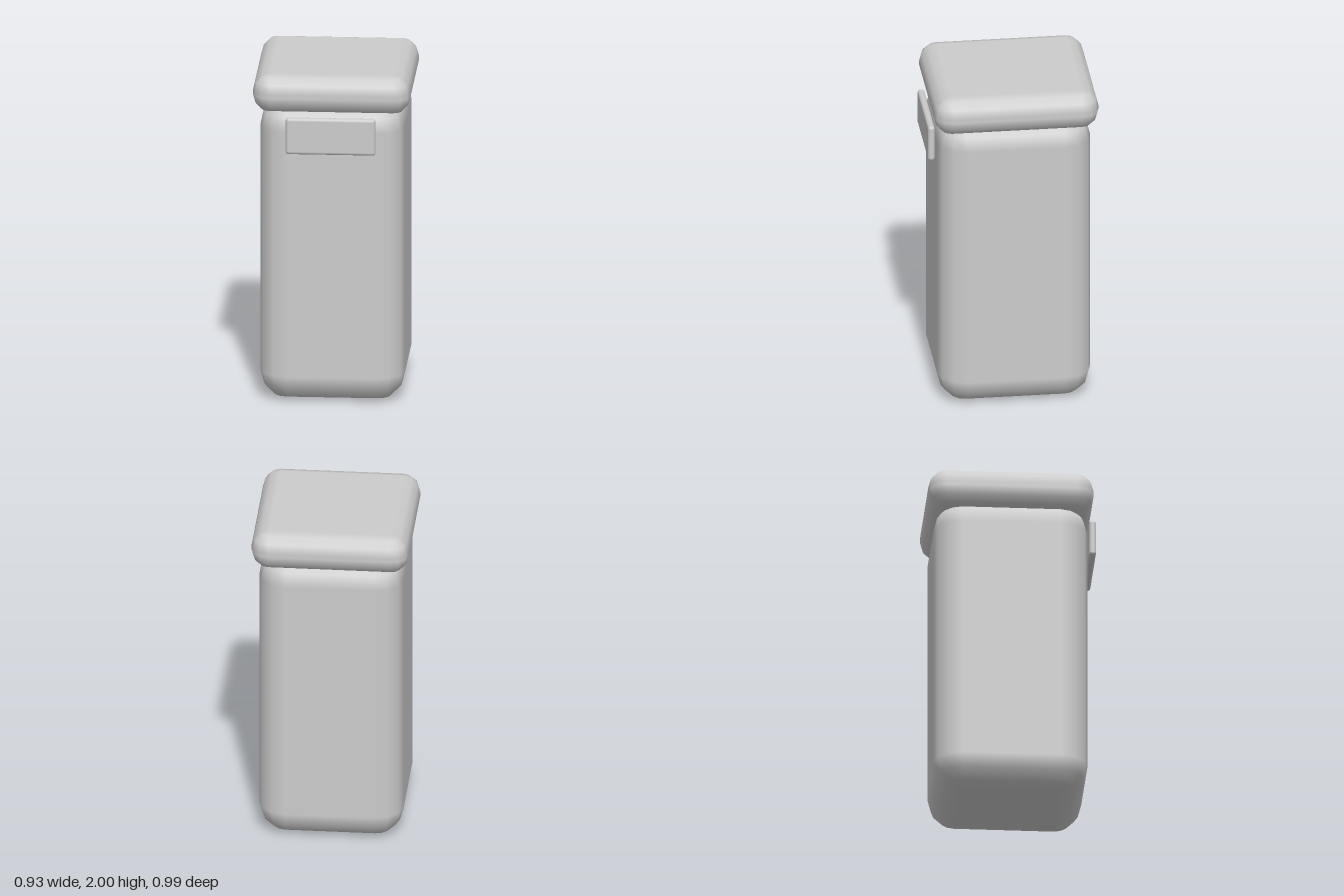
import * as THREE from 'three';

const STEPS = 3; // facets per rounded quarter

// Box rounded on every edge, given by its min and max corners; rings of points are lofted upward.
function roundedBlock([x0, y0, z0], [x1, y1, z1], r) {
  const positions = [], normals = [], index = [];
  const quarter = Math.PI / 2, perRing = 4 * (STEPS + 1);
  const rings = 2 * (STEPS + 1);
  for (let ring = 0; ring < rings; ring++) {
    const upper = ring > STEPS;
    const lat = ((upper ? ring - 1 : ring) / STEPS - 1) * quarter;
    for (let corner = 0; corner < 4; corner++) {
      const cx = corner === 0 || corner === 3 ? x1 - r : x0 + r;
      const cz = corner < 2 ? z1 - r : z0 + r;
      for (let s = 0; s <= STEPS; s++) {
        const a = (corner + s / STEPS) * quarter;
        const n = [Math.cos(lat) * Math.cos(a), Math.sin(lat), Math.cos(lat) * Math.sin(a)];
        normals.push(...n);
        positions.push(cx + r * n[0], (upper ? y1 - r : y0 + r) + r * n[1], cz + r * n[2]);
      }
    }
  }
  for (let ring = 0; ring < rings - 1; ring++) {
    for (let i = 0; i < perRing; i++) {
      const a = ring * perRing + i, b = ring * perRing + (i + 1) % perRing;
      index.push(a, a + perRing, b + perRing, a, b + perRing, b);
    }
  }
  // Flat bottom and top
  const q = STEPS + 1, t = (rings - 1) * perRing;
  index.push(0, q, 2 * q, 0, 2 * q, 3 * q);
  index.push(t, t + 2 * q, t + q, t, t + 3 * q, t + 2 * q);

  const geometry = new THREE.BufferGeometry();
  geometry.setAttribute('position', new THREE.Float32BufferAttribute(positions, 3));
  geometry.setAttribute('normal', new THREE.Float32BufferAttribute(normals, 3));
  geometry.setIndex(index);
  return geometry;
}

export function createModel() {
  const model = new THREE.Group();
  model.name = 'liddedBin';
  const grey = new THREE.MeshStandardMaterial({ color: 0xcccccc });
  grey.name = 'light grey';

  const add = (name, min, max, radius) => {
    const mesh = new THREE.Mesh(roundedBlock(min, max, radius), grey);
    mesh.name = name;
    model.add(mesh);
  };

  // Tall body, its top tucked into the lid
  add('body', [-0.425, 0, -0.46], [0.425, 1.825, 0.445], 0.163);
  // Overhanging cushion-shaped lid
  add('lid', [-0.463, 1.77, -0.497], [0.463, 2, 0.475], 0.104);
  // Plate standing just off the front
  add('frontPlate', [-0.264, 1.54, 0.455], [0.264, 1.762, 0.497], 0.018);

  return model;
}
